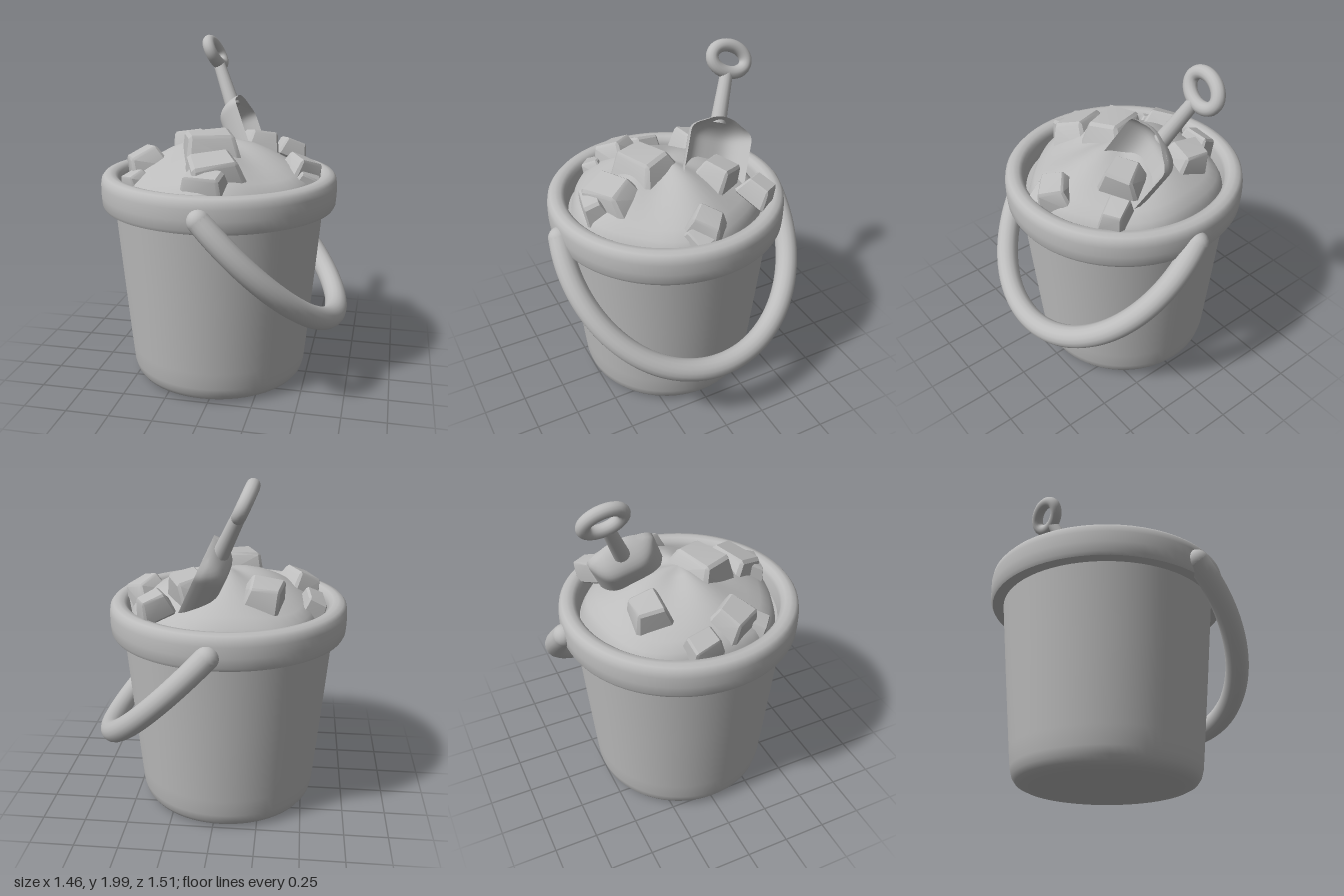
import * as THREE from 'three';
import { toCreasedNormals } from 'three/addons/utils/BufferGeometryUtils.js';
import { ConvexGeometry } from 'three/addons/geometries/ConvexGeometry.js';

const grey = new THREE.MeshStandardMaterial({ color: 0xbcbcbc });
grey.name = 'plain grey';

const CX = -0.042; // bucket axis

function add(parent, name, geometry, x = 0, y = 0, z = 0) {
  const mesh = new THREE.Mesh(geometry, grey);
  mesh.name = name;
  mesh.position.set(x, y, z);
  parent.add(mesh);
  return mesh;
}

const lathe = (pts, seg = 72) =>
  new THREE.LatheGeometry(pts.map(([r, y]) => new THREE.Vector2(r, y)), seg);

// Chipped block: each box corner is shifted, then cut into a small bevel
function rockGeometry(w, h, d, seed) {
  let s = seed * 977 + 13;
  const rnd = () => ((s = (s * 16807) % 2147483647) / 2147483647) - 0.5;
  const pts = [];
  for (const i of [-1, 1]) for (const j of [-1, 1]) for (const k of [-1, 1]) {
    const taper = j > 0 ? 0.8 : 1.1;
    const c = new THREE.Vector3(
      i * w * taper * (0.5 + rnd() * 0.14),
      j * h * (0.5 + rnd() * 0.16),
      k * d * taper * (0.5 + rnd() * 0.14));
    for (const cut of [[1, 0.8, 0.84], [0.84, 1, 0.84], [0.84, 0.8, 1]]) {
      pts.push(c.clone().multiply(new THREE.Vector3(...cut)));
    }
  }
  return toCreasedNormals(new ConvexGeometry(pts), 0.5);
}

// Dished scoop blade: x is the open side, y runs up to the shaft, z is across
function bladeGeometry() {
  const len = 0.4, half = 0.195, depth = 0.13;
  const g = new THREE.BoxGeometry(0.028, len, 2, 1, 20, 24);
  const p = g.attributes.position;
  for (let i = 0; i < p.count; i++) {
    const v = 0.5 - p.getY(i) / len; // 0 at the top edge
    const s = p.getZ(i);
    const corner = Math.max(0, 1 - v / 0.3);
    const width = half * (1 - 0.42 * corner ** 3);
    const side = Math.abs(s) ** 4;
    const top = Math.max(0, 1 - v / 0.35) ** 2.2;
    const rise = 1 - (1 - side) * (1 - top);
    p.setXYZ(i, p.getX(i) - 0.07 + depth * rise,
      0.035 - v * len - 0.035 * s * s * corner, s * width);
  }
  return toCreasedNormals(g, 0.9);
}

export function createModel() {
  const model = new THREE.Group();
  model.name = 'sandBucket';

  // Tapered body with a rounded foot
  add(model, 'bucketBody', toCreasedNormals(lathe([
    [0, 0.012], [0.42, 0.008], [0.46, 0.012], [0.49, 0.027], [0.51, 0.055],
    [0.522, 0.1], [0.532, 0.2], [0.572, 0.63], [0.612, 1.08],
  ]), 0.7), CX);

  // Thick rolled rim and the ledge inside it
  add(model, 'bucketRim', toCreasedNormals(lathe([
    [0.59, 1.056], [0.655, 1.05], [0.672, 1.056], [0.682, 1.075], [0.686, 1.13],
    [0.686, 1.19], [0.68, 1.225], [0.664, 1.244], [0.635, 1.252], [0.605, 1.247],
    [0.585, 1.23], [0.577, 1.205], [0.57, 1.12], [0, 1.12],
  ]), 0.7), CX);

  // Carrying handle: a half ellipse hanging forward on a slanted plane
  const path = [];
  const start = Math.asin(0.11 / 0.58);
  for (let i = 0; i <= 32; i++) {
    const a = -start + (Math.PI + 2 * start) * (i / 32);
    const y = 1.02 - 0.58 * Math.sin(a);
    path.push(new THREE.Vector3((1.13 - y) * 0.957 + 0.005, y, 0.69 * Math.cos(a)));
  }
  const handle = new THREE.Group();
  handle.name = 'bucketHandle';
  model.add(handle);
  add(handle, 'handleBar', new THREE.TubeGeometry(new THREE.CatmullRomCurve3(path), 72, 0.065, 16));
  for (const end of [path[0], path[path.length - 1]]) {
    add(handle, 'handleEnd', new THREE.SphereGeometry(0.065, 16, 12), end.x, end.y, end.z);
  }

  // Heap of sand with a lumpy surface
  const sand = lathe([
    [0.575, 1.13], [0.56, 1.18], [0.535, 1.225], [0.48, 1.265], [0.4, 1.31],
    [0.3, 1.36], [0.2, 1.4], [0.1, 1.425], [0, 1.435],
  ], 48);
  const p = sand.attributes.position;
  for (let i = 0; i < p.count; i++) {
    const x = p.getX(i), z = p.getZ(i), r = Math.hypot(x, z);
    const a = Math.atan2(z, x);
    const f = 0.97 + 0.025 * Math.sin(5 * a + 1) + 0.015 * Math.cos(3 * a);
    p.setXYZ(i, x * f, p.getY(i) + 0.018 * Math.sin(4 * a + 2) * Math.sin(r * 5.4), z * f);
  }
  sand.computeVertexNormals();
  add(model, 'sandHeap', toCreasedNormals(sand, 1.0), CX);

  // Blocks half buried in the sand: x, y, z, width, height, depth, turn
  const rocks = [
    [-0.07, 1.415, 0.13, 0.31, 0.17, 0.25, 0.35],
    [0.0, 1.315, 0.36, 0.3, 0.18, 0.24, 0.4],
    [-0.02, 1.27, 0.46, 0.24, 0.14, 0.14, -0.2],
    [-0.265, 1.355, -0.28, 0.21, 0.14, 0.19, -0.1],
    [0.15, 1.375, -0.23, 0.2, 0.15, 0.2, 0.5],
    [0.32, 1.31, -0.39, 0.17, 0.14, 0.14, 0.5],
    [0.44, 1.28, 0.0, 0.19, 0.13, 0.18, 0.8],
    [0.48, 1.22, 0.05, 0.16, 0.1, 0.16, 0.3],
    [-0.45, 1.305, 0.13, 0.2, 0.15, 0.2, 0.6],
    [-0.53, 1.24, -0.09, 0.14, 0.12, 0.2, 0.2],
    [-0.47, 1.225, 0.27, 0.13, 0.1, 0.14, 0.9],
  ];
  const rockGroup = new THREE.Group();
  rockGroup.name = 'rocks';
  model.add(rockGroup);
  rocks.forEach(([x, y, z, w, h, d, turn], i) => {
    const rock = add(rockGroup, 'rock', rockGeometry(w, h, d, i + 1), x, y, z);
    // lean outwards with the slope of the heap
    const out = new THREE.Vector3((x - CX) * 0.9, 1, z * 0.9).normalize();
    rock.quaternion.setFromUnitVectors(new THREE.Vector3(0, 1, 0), out)
      .multiply(new THREE.Quaternion().setFromAxisAngle(new THREE.Vector3(0, 1, 0), turn));
  });

  // Shovel leaning back in the sand, its open side towards +x
  const shovel = new THREE.Group();
  shovel.name = 'shovel';
  const up = new THREE.Vector3(-0.382, 0.841, -0.382).normalize();
  const across = new THREE.Vector3(0, 0, 1).addScaledVector(up, -up.z).normalize();
  const open = new THREE.Vector3().crossVectors(up, across);
  shovel.quaternion.setFromRotationMatrix(new THREE.Matrix4().makeBasis(open, up, across));
  shovel.position.set(-0.03, 1.58, -0.33);
  model.add(shovel);
  add(shovel, 'shovelBlade', bladeGeometry());
  add(shovel, 'shovelShaft', new THREE.CylinderGeometry(0.036, 0.046, 0.3, 16), 0, 0.15, 0);

  // Oval grip
  const ring = [];
  for (let i = 0; i < 24; i++) {
    const a = (i / 24) * Math.PI * 2;
    ring.push(new THREE.Vector3(0, 0.075 * Math.sin(a), 0.108 * Math.cos(a)));
  }
  add(shovel, 'shovelGrip',
    new THREE.TubeGeometry(new THREE.CatmullRomCurve3(ring, true), 48, 0.037, 14, true), 0, 0.367, 0);

  return model;
}
